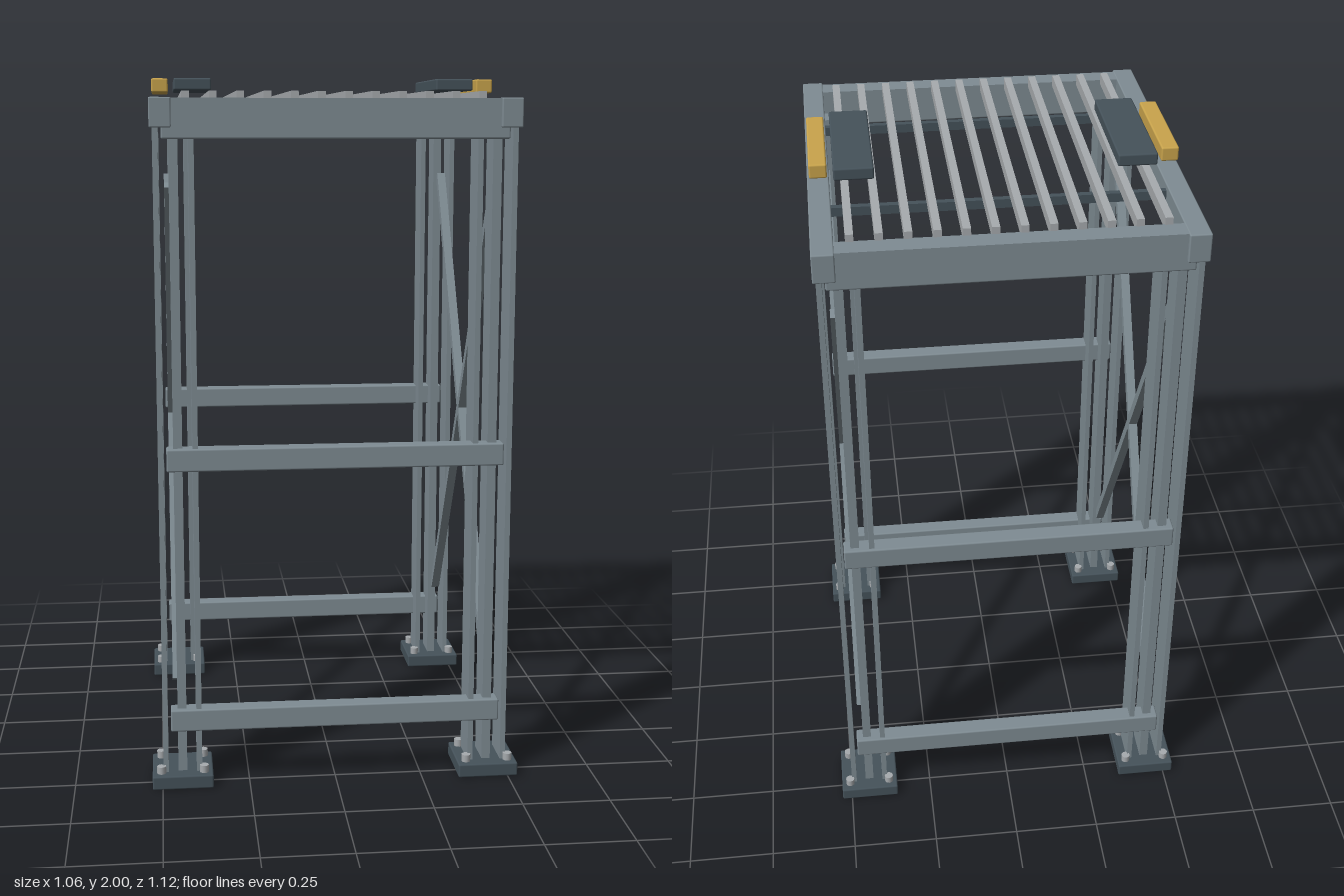
import * as THREE from 'three';
import { RoundedBoxGeometry } from 'three/addons/geometries/RoundedBoxGeometry.js';

export function createModel() {
  const root = new THREE.Group();
  root.name = 'platformStand';
  const mat = (name, color) => Object.assign(new THREE.MeshStandardMaterial({ color }), { name });
  const steel = mat('steel', 0x7f8c93);
  const dark = mat('darkSteel', 0x45525a);
  const bright = mat('brightSteel', 0xa7abae);
  const yellow = mat('yellow', 0xc9a44c);

  const add = (name, geo, material, x, y, z) => {
    const m = new THREE.Mesh(geo, material);
    m.name = name;
    m.position.set(x, y, z);
    root.add(m);
    return m;
  };
  // box given by its lower and upper limits, optionally with softened edges
  const box = (name, material, [x0, x1], [y0, y1], [z0, z1], r = 0) => {
    const s = [x1 - x0, y1 - y0, z1 - z0];
    const geo = r ? new RoundedBoxGeometry(...s, 2, r) : new THREE.BoxGeometry(...s);
    return add(name, geo, material, (x0 + x1) / 2, (y0 + y1) / 2, (z0 + z1) / 2);
  };
  const span = (c, w) => [c - w / 2, c + w / 2];

  for (const sx of [-1, 1]) {
    for (const sz of [-1, 1]) {
      const cx = sx * 0.442, cz = sz * 0.472;
      // leg: two flanges with a web plate between them
      for (const d of [-0.048, 0.048])
        box('legFlange', steel, span(cx + d, 0.015), [0.04, 1.87], span(cz, 0.106));
      box('legWeb', steel, span(cx, 0.025), [0.04, 1.87], span(cz, 0.09));
      // foot with four anchor bolts
      box('footPlate', dark, span(cx, 0.174), [0, 0.04], span(cz, 0.174), 0.005);
      for (const bx of [-1, 1]) for (const bz of [-1, 1])
        add('anchorBolt', new THREE.CylinderGeometry(0.013, 0.013, 0.022, 12), bright,
          cx + bx * 0.061, 0.05, cz + bz * 0.058);
    }

    // top side rail
    box('sideRail', steel, span(sx * 0.476, 0.059), [1.86, 1.94], [-0.547, 0.547], 0.004);

    // crossed diagonal braces
    const dy = 1.42, dz = 0.86;
    for (const s of [-1, 1]) {
      const brace = add('diagonalBrace', new THREE.BoxGeometry(0.026, Math.hypot(dy, dz), 0.026),
        steel, sx * 0.454, 0.995, 0);
      brace.rotation.x = s * Math.atan2(dz, dy);
    }

    // pad and yellow guide block on top
    box('supportPad', dark, span(sx * 0.381, 0.108), [1.966, 2], [-0.19, 0.19], 0.005);
    box('guideBlock', yellow, span(sx * 0.475, 0.048), [1.96, 2], [-0.158, 0.158], 0.005);
  }

  for (const sz of [-1, 1]) {
    // end rails and horizontal ties
    box('endRail', steel, [-0.447, 0.447], [1.862, 1.938], span(sz * 0.506, 0.06));
    for (const y of [0.195, 0.953, 1.862])
      box('crossTie', steel, [-0.474, 0.474], span(y, 0.064), span(sz * 0.507, 0.052), 0.005);
    // bearers below the grating
    box('gratingBearer', dark, [-0.447, 0.447], [1.9, 1.925], span(sz * 0.255, 0.018));
  }

  // grating bars
  for (let i = 0; i < 12; i++)
    box('gratingBar', bright, span((i - 5.5) * 0.0739, 0.021), [1.925, 1.958], [-0.48, 0.48]);

  return root;
}
